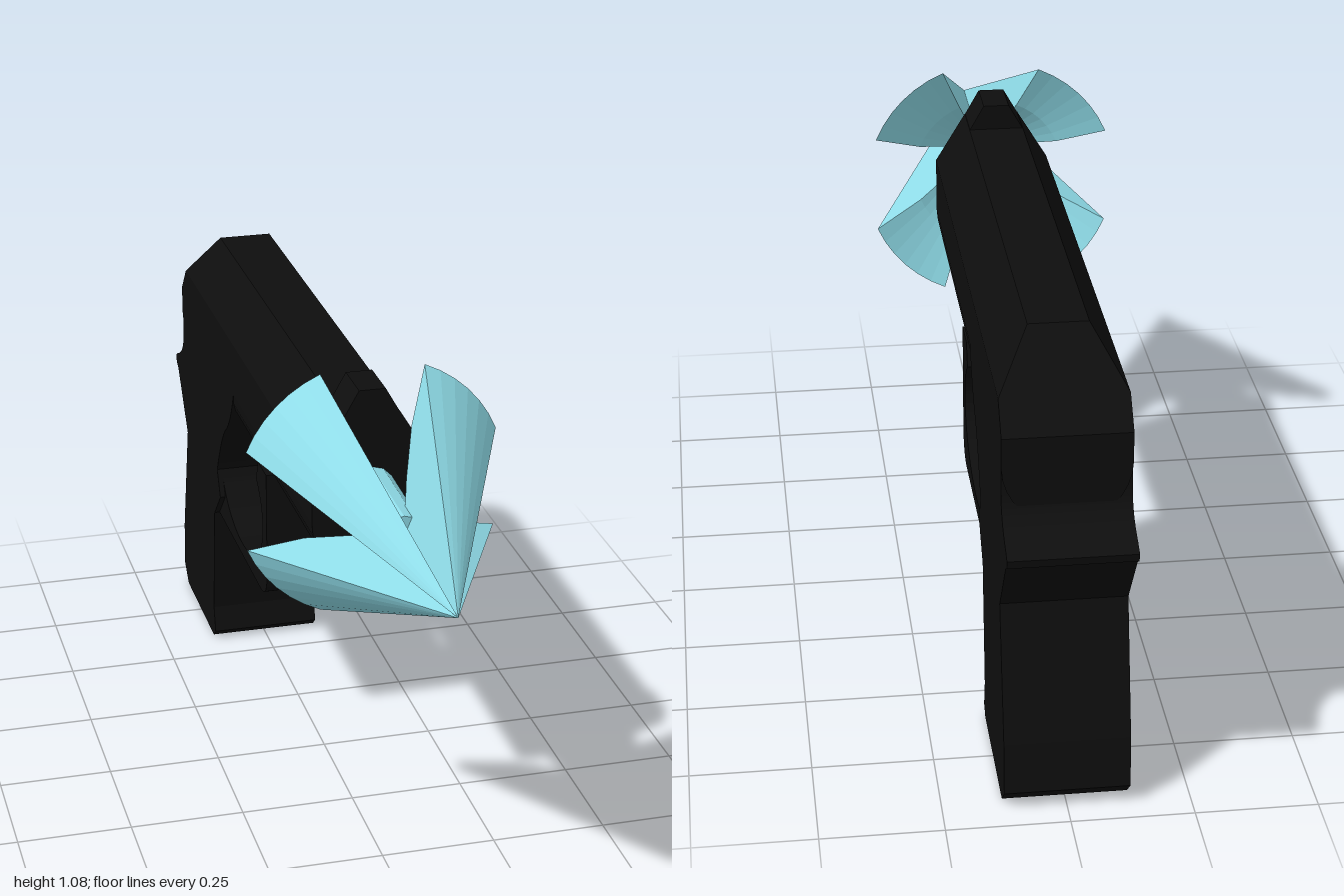
import * as THREE from 'three';
import { mergeGeometries } from 'three/addons/utils/BufferGeometryUtils.js';

const black = new THREE.MeshStandardMaterial({ color: 0x0e0e0e, flatShading: true });
const blue = new THREE.MeshStandardMaterial({ color: 0x8fdce8, flatShading: true, side: THREE.DoubleSide });
const AXIS_Y = 0.815;

function part(name, geometry, material) {
  const mesh = new THREE.Mesh(geometry, material);
  mesh.name = name;
  return mesh;
}

// Side profile drawn in (z, y), extruded across x and centred
function sideExtrude(shape, halfWidth) {
  return new THREE.ExtrudeGeometry(shape, { depth: halfWidth * 2, bevelEnabled: false, curveSegments: 12 })
    .translate(0, 0, -halfWidth)
    .rotateY(-Math.PI / 2);
}

// Stack of rectangles, bottom to top: [y, halfWidth, zBack, zFront]
function stack(levels) {
  const pos = [], index = [];
  levels.forEach(([y, w, back, front], i) => {
    pos.push(w, y, front, w, y, back, -w, y, back, -w, y, front);
    if (i === 0) return;
    for (let k = 0; k < 4; k++) {
      const a = (i - 1) * 4 + k, b = (i - 1) * 4 + (k + 1) % 4;
      index.push(a, b, b + 4, a, b + 4, a + 4);
    }
  });
  const t = (levels.length - 1) * 4;
  index.push(0, 2, 1, 0, 3, 2, t, t + 1, t + 2, t, t + 2, t + 3);
  const g = new THREE.BufferGeometry();
  g.setAttribute('position', new THREE.Float32BufferAttribute(pos, 3));
  g.setIndex(index);
  g.computeVertexNormals();
  return g;
}

// Slide: round belly, chamfered top and sloped rear
function slideGeometry() {
  const levels = [], r = 0.127, n = 8;
  for (let i = 0; i <= n; i++) {
    const a = (i / n) * Math.PI / 2;
    levels.push([0.747 - r * Math.cos(a), Math.max(0.015, r * Math.sin(a)), -0.905, 0.39]);
  }
  levels.push([0.81, r, -0.905, 0.39], [0.87, r, -0.854, 0.39], [0.98, 0.06, -0.76, 0.39]);
  return stack(levels);
}

// Frame and grip in one side profile
function frameGeometry() {
  const s = new THREE.Shape();
  s.moveTo(-0.34, 0.747);
  s.lineTo(-0.905, 0.747);
  s.lineTo(-0.898, 0.73);
  s.bezierCurveTo(-0.89, 0.66, -0.92, 0.63, -0.975, 0.61);
  s.lineTo(-0.998, 0.598);
  s.lineTo(-0.993, 0.58);
  s.lineTo(-0.975, 0.57);
  s.lineTo(-0.875, 0.435);
  s.lineTo(-0.942, 0.15);
  s.lineTo(-0.948, 0.04);
  s.lineTo(-0.905, 0);
  s.lineTo(-0.605, 0);
  s.lineTo(-0.582, 0.02);
  s.lineTo(-0.597, 0.08);
  s.lineTo(-0.568, 0.35);
  s.lineTo(-0.50, 0.42);
  s.lineTo(-0.53, 0.48);
  s.quadraticCurveTo(-0.47, 0.60, -0.42, 0.63);
  s.quadraticCurveTo(-0.37, 0.67, -0.34, 0.747);
  return sideExtrude(s, 0.127);
}

// Trigger guard: open loop hanging below the slide
function guardGeometry() {
  const s = new THREE.Shape();
  s.moveTo(-0.07, 0.66);
  s.lineTo(-0.15, 0.66);
  s.lineTo(-0.17, 0.61);
  s.quadraticCurveTo(-0.11, 0.57, -0.11, 0.515);
  s.bezierCurveTo(-0.11, 0.43, -0.21, 0.38, -0.33, 0.38);
  s.bezierCurveTo(-0.42, 0.38, -0.51, 0.42, -0.53, 0.48);
  s.lineTo(-0.60, 0.48);
  s.lineTo(-0.60, 0.35);
  s.lineTo(-0.14, 0.35);
  s.quadraticCurveTo(-0.07, 0.35, -0.07, 0.42);
  s.closePath();
  return sideExtrude(s, 0.115);
}

function triggerGeometry() {
  const s = new THREE.Shape();
  s.moveTo(-0.34, 0.66);
  s.lineTo(-0.35, 0.61);
  s.quadraticCurveTo(-0.37, 0.50, -0.34, 0.452);
  s.lineTo(-0.375, 0.46);
  s.quadraticCurveTo(-0.39, 0.57, -0.44, 0.62);
  s.lineTo(-0.44, 0.66);
  s.closePath();
  return sideExtrude(s, 0.045);
}

// One blade: a cone sector with a hollowed rear and flat radial walls
function bladeGeometry() {
  const R = 0.286, start = Math.PI / 8, sweep = Math.PI / 4;
  const profile = [[0, 0.6], [0.12, 0.59], [0.3, 0.53], [0.6, 0.45], [1, 0.39], [0, 0.998]]
    .map(([r, z]) => new THREE.Vector2(r * R, z));
  const pieces = [new THREE.LatheGeometry(profile, 6, start, sweep)];
  for (const phi of [start, start + sweep]) {
    pieces.push(new THREE.ShapeGeometry(new THREE.Shape(profile)).rotateY(phi - Math.PI / 2));
  }
  return mergeGeometries(pieces.map(g => g.toNonIndexed())).rotateX(Math.PI / 2);
}

export function createModel() {
  const model = new THREE.Group();
  model.name = 'grapplePistol';

  model.add(
    part('slide', slideGeometry(), black),
    part('frontSight', stack([[0.975, 0.062, 0.285, 0.39], [1.035, 0.028, 0.285, 0.39]]), black),
    part('frameAndGrip', frameGeometry(), black),
    part('triggerGuard', guardGeometry(), black),
    part('trigger', triggerGeometry(), black)
  );

  // Hook head: rod plus four blades around the barrel axis
  const hook = new THREE.Group();
  hook.name = 'hookHead';
  hook.position.y = AXIS_Y;
  const rod = new THREE.CylinderGeometry(0.045, 0.05, 0.27, 12).rotateX(Math.PI / 2).translate(0, 0, 0.495);
  hook.add(part('hookRod', rod, blue));
  const blade = bladeGeometry();
  for (let i = 0; i < 4; i++) {
    const mesh = part('hookBlade', blade, blue);
    mesh.rotation.z = i * Math.PI / 2;
    hook.add(mesh);
  }
  model.add(hook);
  return model;
}
